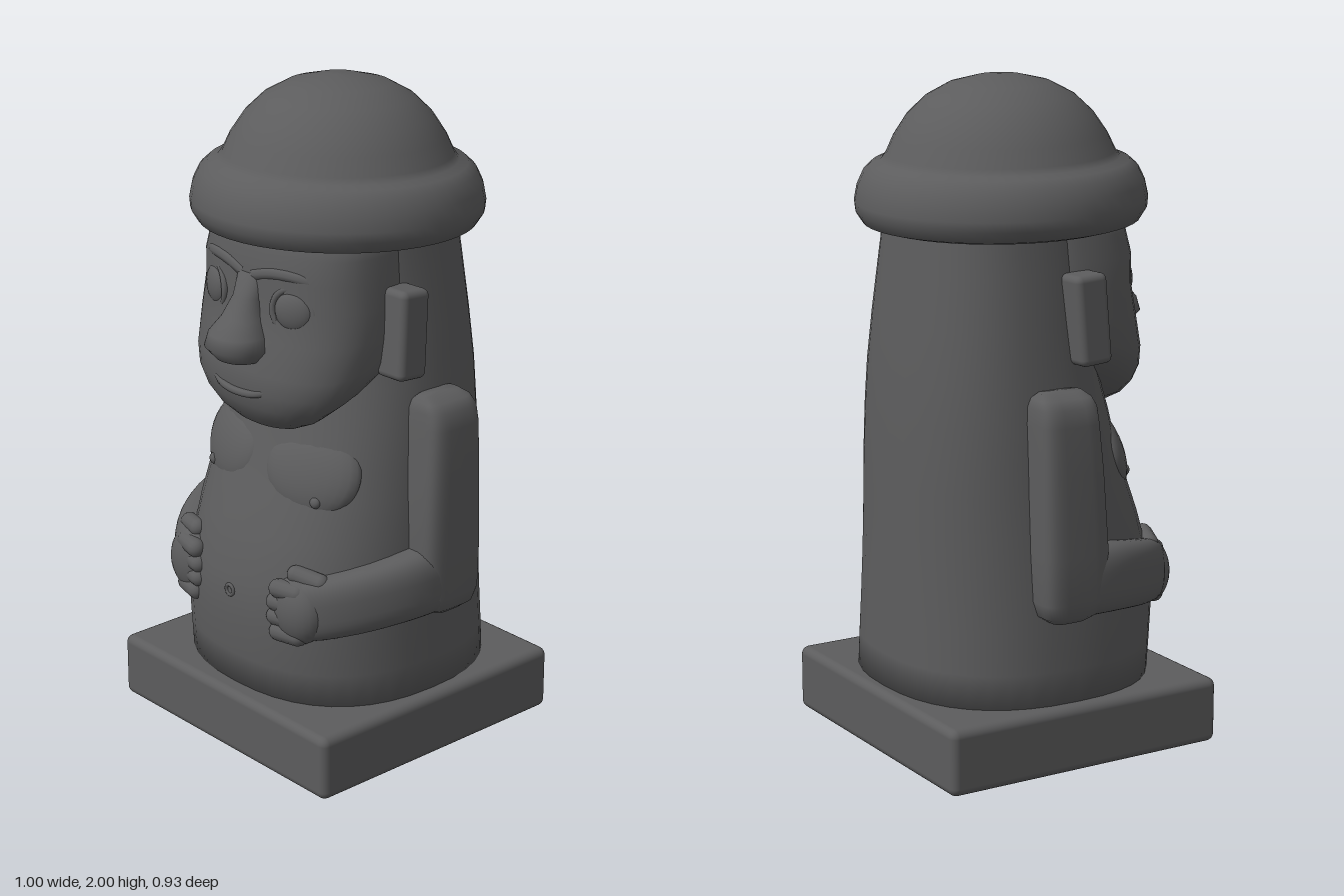
import * as THREE from 'three';
import { mergeVertices } from 'three/addons/utils/BufferGeometryUtils.js';
import { RoundedBoxGeometry } from 'three/addons/geometries/RoundedBoxGeometry.js';

const SEG = 40;

// unit superellipse point: n = 2 is round, larger n is squarer
function superPoint(k, n) {
  const a = (k / SEG) * Math.PI * 2;
  const f = (v) => Math.sign(v) * Math.pow(Math.abs(v), 2 / n);
  return [f(Math.cos(a)), f(Math.sin(a))];
}

// smooth closed skin over a list of rings
function loft(rings) {
  const pos = [], idx = [];
  rings.forEach((r) => r.forEach((p) => pos.push(p.x, p.y, p.z)));
  for (let r = 0; r < rings.length - 1; r++) {
    for (let k = 0; k < SEG; k++) {
      const a = r * SEG + k, b = r * SEG + (k + 1) % SEG, c = a + SEG, d = b + SEG;
      idx.push(a, c, b, b, c, d);
    }
  }
  [0, rings.length - 1].forEach((r, end) => {
    const mid = new THREE.Vector3();
    rings[r].forEach((p) => mid.addScaledVector(p, 1 / SEG));
    const m = pos.length / 3;
    pos.push(mid.x, mid.y, mid.z);
    for (let k = 0; k < SEG; k++) {
      const a = r * SEG + k, b = r * SEG + (k + 1) % SEG;
      if (end) idx.push(m, b, a); else idx.push(m, a, b);
    }
  });
  const g = new THREE.BufferGeometry();
  g.setAttribute('position', new THREE.Float32BufferAttribute(pos, 3));
  g.setIndex(idx);
  g.computeVertexNormals();
  return g;
}

// upright loft; rows are [y, half width, z front, z back, centre x, shear]
function stack(rows, n) {
  return loft(rows.map(([y, hw, zf, zb, cx = 0, shear = 0]) =>
    Array.from({ length: SEG }, (_, k) => {
      const [u, v] = superPoint(k, n);
      const z = (zf + zb) / 2 + v * (zf - zb) / 2;
      return new THREE.Vector3(cx + u * hw, y + shear * Math.max(0, 0.27 - z), z);
    })));
}

// loft along a curve with an upright elliptical section
function limb(points, size, n) {
  const curve = new THREE.CatmullRomCurve3(points.map((p) => new THREE.Vector3(...p)));
  const up = new THREE.Vector3(0, 1, 0), rings = [], steps = 16;
  for (let i = 0; i <= steps; i++) {
    const t = i / steps, c = curve.getPoint(t);
    const side = curve.getTangent(t).cross(up).normalize();
    const [rx, ry] = size(t);
    rings.push(Array.from({ length: SEG }, (_, k) => {
      const [u, v] = superPoint(k, n);
      return c.clone().addScaledVector(side, u * rx).addScaledVector(up, v * ry);
    }));
  }
  return loft(rings);
}

function mirrored(geo) {
  const g = geo.index ? geo.clone() : mergeVertices(geo);
  g.scale(-1, 1, 1);
  const a = g.index.array;
  for (let i = 0; i < a.length; i += 3) [a[i + 1], a[i + 2]] = [a[i + 2], a[i + 1]];
  return g;
}

const ball = (r, sx, sy, sz) => new THREE.SphereGeometry(r, 24, 16).scale(sx, sy, sz);
const tube = (pts, r) => new THREE.TubeGeometry(
  new THREE.CatmullRomCurve3(pts.map((p) => new THREE.Vector3(...p))), 24, r, 8);

export function createModel() {
  const model = new THREE.Group();
  model.name = 'stoneGuardian';
  const stone = new THREE.MeshStandardMaterial({ color: 0x5c5c5d });
  stone.name = 'basalt';

  const add = (name, geo) => {
    const mesh = new THREE.Mesh(geo, stone);
    mesh.name = name;
    model.add(mesh);
  };
  const addPair = (name, geo) => {
    add(name + 'Left', geo);
    add(name + 'Right', mirrored(geo));
  };

  // square plinth
  add('plinth', new RoundedBoxGeometry(0.945, 0.2, 0.925, 3, 0.025).translate(0, 0.1, -0.004));

  // column body with a rounded belly and straight back
  add('body', stack([
    [0.18, 0.43, 0.4, -0.43], [0.3, 0.427, 0.41, -0.425], [0.42, 0.422, 0.42, -0.42],
    [0.55, 0.415, 0.41, -0.415], [0.7, 0.405, 0.365, -0.41], [0.82, 0.395, 0.32, -0.408],
    [0.92, 0.388, 0.285, -0.404], [1.02, 0.38, 0.26, -0.4], [1.15, 0.365, 0.22, -0.392],
    [1.3, 0.345, 0.2, -0.378], [1.45, 0.325, 0.2, -0.362], [1.56, 0.31, 0.2, -0.35],
    [1.65, 0.3, 0.2, -0.34],
  ], 2.4));
  addPair('chest', ball(0.16, 1, 0.85, 0.35).rotateX(-0.35).rotateY(0.3).translate(0.17, 0.89, 0.23));
  addPair('nipple', ball(0.018, 1, 1, 0.8).translate(0.23, 0.82, 0.277));
  add('navel', new THREE.TorusGeometry(0.016, 0.006, 8, 16).translate(0, 0.505, 0.413));

  // broad face with an overhanging jaw
  add('head', stack([
    [1.0, 0.07, 0.28, 0.12, 0, 0.5], [1.018, 0.15, 0.318, 0.04, 0, 0.5],
    [1.05, 0.225, 0.348, -0.02, 0, 0.48], [1.09, 0.275, 0.368, -0.06, 0, 0.42],
    [1.14, 0.31, 0.378, -0.08, 0, 0.34], [1.2, 0.328, 0.375, -0.1, 0, 0.24],
    [1.3, 0.335, 0.35, -0.1, 0, 0.1], [1.4, 0.332, 0.33, -0.1],
    [1.48, 0.325, 0.335, -0.1], [1.55, 0.315, 0.318, -0.1], [1.65, 0.3, 0.3, -0.1],
  ], 2.5));
  add('nose', stack([
    [1.215, 0.035, 0.395, 0.3], [1.23, 0.075, 0.43, 0.29], [1.265, 0.103, 0.46, 0.28],
    [1.305, 0.092, 0.45, 0.28], [1.35, 0.065, 0.41, 0.28], [1.41, 0.047, 0.37, 0.28],
    [1.48, 0.05, 0.342, 0.28],
  ], 2.1));
  addPair('eye', ball(0.062, 1, 1, 0.5).rotateY(0.35).translate(0.17, 1.395, 0.3));
  addPair('eyeRim', new THREE.TorusGeometry(0.068, 0.011, 8, 28)
    .rotateY(0.38).translate(0.17, 1.395, 0.302));
  addPair('brow', tube([[0.02, 1.475, 0.32], [0.1, 1.495, 0.314], [0.19, 1.495, 0.29],
    [0.26, 1.465, 0.238]], 0.02));
  add('mouth', tube([[-0.13, 1.155, 0.35], [-0.07, 1.135, 0.372], [0, 1.13, 0.38],
    [0.07, 1.135, 0.372], [0.13, 1.155, 0.35]], 0.012));

  // slab ears, leaning slightly
  addPair('ear', new RoundedBoxGeometry(0.11, 0.265, 0.105, 3, 0.02)
    .rotateZ(0.03).rotateX(-0.07).translate(0.355, 1.325, 0.052));

  // upper arms hanging straight down
  addPair('upperArm', stack([
    [0.455, 0.045, 0.0, -0.11, 0.415], [0.475, 0.068, 0.03, -0.14, 0.417],
    [0.52, 0.078, 0.05, -0.153, 0.42], [0.66, 0.08, 0.065, -0.157, 0.42],
    [0.9, 0.08, 0.05, -0.157, 0.413], [1.04, 0.078, 0.038, -0.157, 0.407],
    [1.09, 0.07, 0.034, -0.154, 0.405], [1.115, 0.052, 0.026, -0.145, 0.4],
    [1.13, 0.025, 0.01, -0.125, 0.39],
  ], 4));

  // forearms wrapping round to the belly
  addPair('forearm', limb([
    [0.42, 0.57, -0.07], [0.42, 0.565, 0.08], [0.36, 0.54, 0.23], [0.28, 0.515, 0.325],
    [0.22, 0.505, 0.355],
  ], (t) => [0.074 - 0.02 * t, 0.108 - 0.015 * t], 2.8));

  // fists with curled fingers and a thumb on top
  addPair('fist', ball(1, 0.095, 0.105, 0.062).translate(0.24, 0.505, 0.35));
  for (let i = 0; i < 4; i++) {
    addPair('finger' + (i + 1), new THREE.CapsuleGeometry(0.029, 0.07, 5, 12)
      .rotateZ(Math.PI / 2).rotateY(0.25)
      .translate(0.207 + 0.012 * Math.abs(i - 1.5), 0.43 + i * 0.046, 0.378));
  }
  addPair('thumb', new THREE.CapsuleGeometry(0.028, 0.08, 5, 12)
    .rotateZ(Math.PI / 2 - 0.15).rotateY(0.35).translate(0.265, 0.607, 0.335));

  // domed hat with a thick rolled brim, tipped a little back
  const hat = [[0, 1.59], [0.3, 1.585], [0.375, 1.568], [0.41, 1.578], [0.43, 1.61], [0.433, 1.64],
    [0.424, 1.685], [0.405, 1.725], [0.38, 1.748], [0.352, 1.757], [0.338, 1.775], [0.315, 1.825],
    [0.275, 1.885], [0.22, 1.938], [0.15, 1.976], [0.07, 1.996], [0, 2]]
    .map(([r, y]) => new THREE.Vector2(r, y - 1.64));
  add('hat', new THREE.LatheGeometry(hat, 48).rotateX(-0.03).rotateZ(0.02)
    .translate(0, 1.64, -0.015));

  return model;
}
